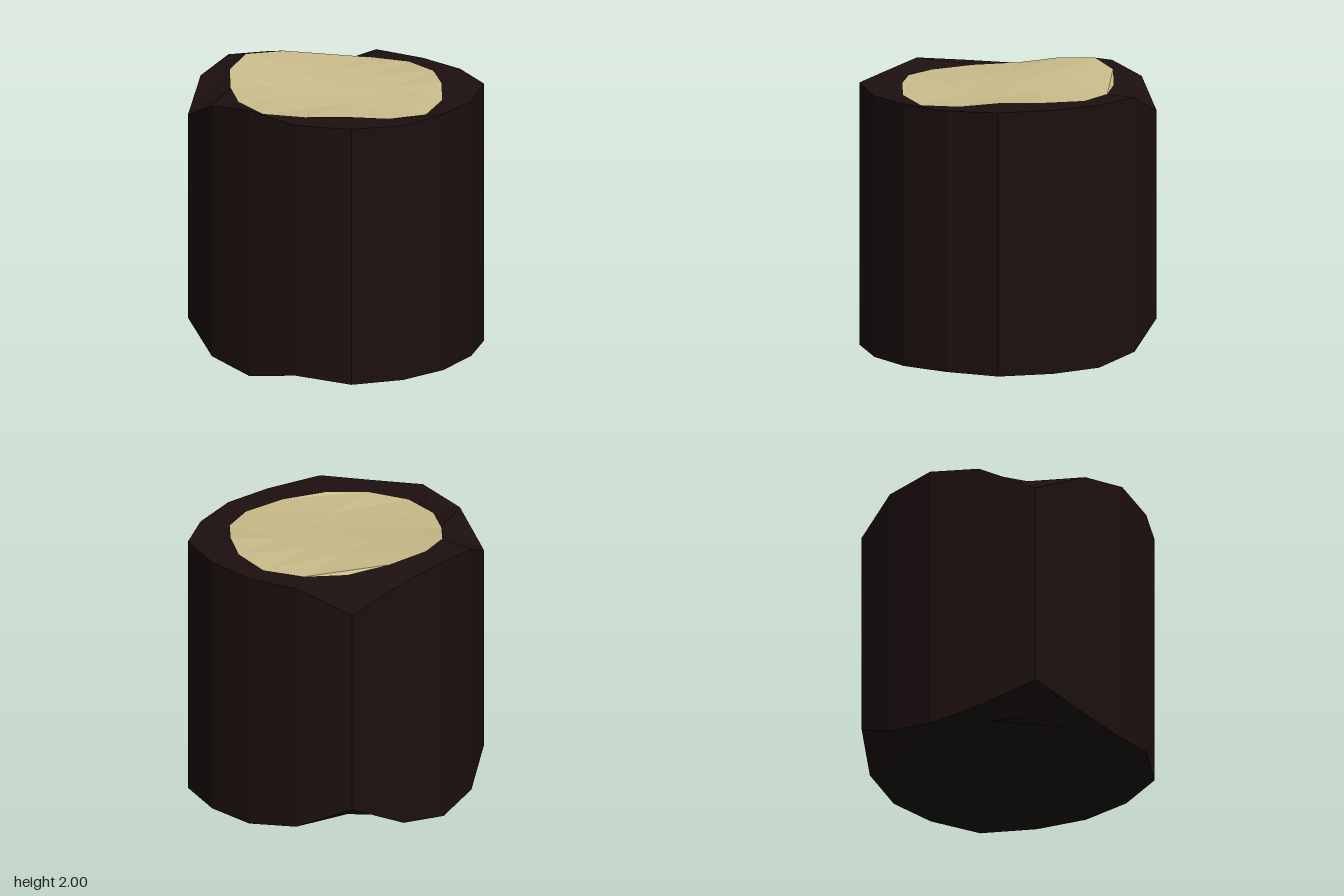
import * as THREE from 'three';

// Rings hold 16 points, running from +x towards +z.
const OUTER_R = [0.98, 1.0, 1.055, 1.0];
const INNER_R = [0.82, 0.785, 0.75, 0.785];
const ring = (radii, heights) => heights.map((y, k) => {
  const a = k * Math.PI / 8, r = radii[k % 4];
  return [r * Math.cos(a), y, r * Math.sin(a)];
});

const quad = (out, a, b, c, d) => out.push(...a, ...b, ...c, ...a, ...c, ...d);

// Band of quads joining two rings
function strip(out, A, B) {
  for (let k = 0; k < 16; k++) {
    const n = (k + 1) % 16;
    quad(out, A[k], B[k], B[n], A[n]);
  }
}

// 4 x 4 grid of quads filling a ring; rows are heights of the 9 inner points, back to front
function cap(out, edge, rows, faceDown) {
  const point = (i, j) => {
    if (Math.max(Math.abs(i), Math.abs(j)) === 2) {
      return edge[(Math.round(Math.atan2(j, i) / (Math.PI / 8)) + 16) % 16];
    }
    const s = i && j ? 0.28 : 0.33;
    return [i * s, rows[j + 1][i + 1], j * s];
  };
  for (let j = -2; j < 2; j++) {
    for (let i = -2; i < 2; i++) {
      const q = [point(i, j), point(i, j + 1), point(i + 1, j + 1), point(i + 1, j)];
      if (faceDown) q.reverse();
      quad(out, ...q);
    }
  }
}

function makeMesh(name, positions, color) {
  const geometry = new THREE.BufferGeometry();
  geometry.setAttribute('position', new THREE.Float32BufferAttribute(positions, 3));
  geometry.computeVertexNormals();
  const mesh = new THREE.Mesh(geometry, new THREE.MeshStandardMaterial({ color, flatShading: true }));
  mesh.name = name;
  return mesh;
}

export function createModel() {
  const group = new THREE.Group();
  group.name = 'log';

  // Uneven rims, with a notch at both back corners
  const top = ring(OUTER_R, [1.895, 1.9, 1.9, 1.885, 1.89, 1.885, 1.91, 1.91,
    1.965, 1.91, 1.735, 1.91, 1.965, 1.91, 1.735, 1.9]);
  const bottom = ring(OUTER_R, [0.005, 0, 0, 0.005, 0, 0.005, 0.02, 0.06,
    0, 0.06, 0.235, 0.06, 0, 0.06, 0.235, 0.065]);
  const topInner = ring(INNER_R, [1.905, 1.915, 1.915, 1.88, 1.86, 1.88, 1.91, 1.91,
    1.9, 1.91, 1.925, 1.97, 2, 1.97, 1.915, 1.905]);
  const bottomInner = ring(INNER_R, [0.02, 0.02, 0.02, 0.02, 0.02, 0.02, 0.03, 0.03,
    0.02, 0.04, 0.07, 0.04, 0.02, 0.04, 0.07, 0.04]);

  // Bark wall, top rim and underside
  const bark = [];
  strip(bark, bottom, top);
  strip(bark, top, topInner);
  strip(bark, bottomInner, bottom);
  cap(bark, bottomInner, [[0.04, 0.03, 0.04], [0.03, 0.03, 0.03], [0.02, 0.02, 0.02]], true);
  group.add(makeMesh('bark', bark, 0x1c100f));

  // Pale cut wood, rising to the back
  const wood = [];
  cap(wood, topInner, [[1.93, 1.945, 1.93], [1.91, 1.915, 1.91], [1.895, 1.89, 1.895]], false);
  group.add(makeMesh('cutTop', wood, 0xcabd8b));

  return group;
}
